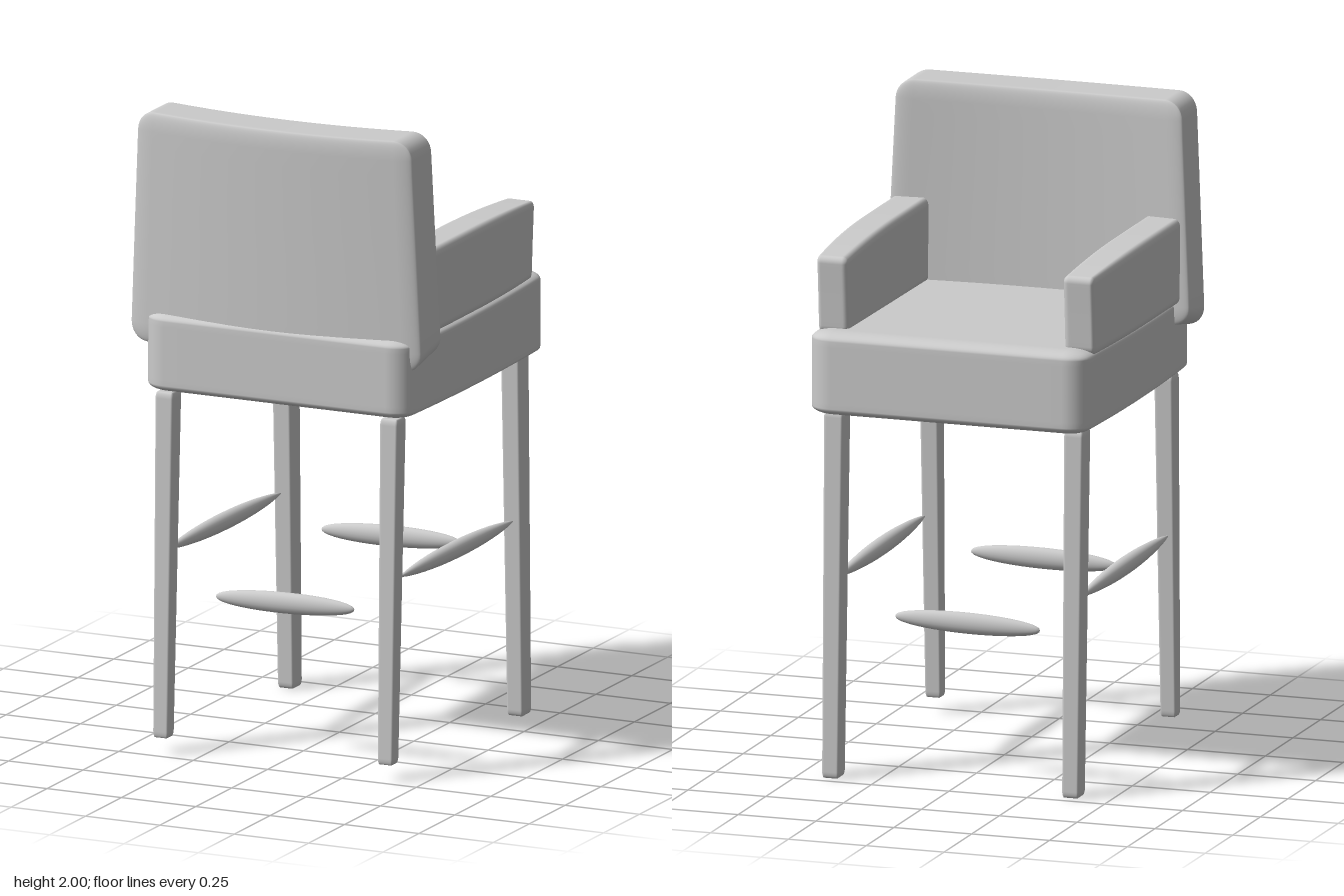
import * as THREE from 'three';
import { mergeVertices } from 'three/addons/utils/BufferGeometryUtils.js';

const material = new THREE.MeshStandardMaterial({ color: 0xcccccc });

// Box with elliptical edge rounding (radii r) between corners lo and hi,
// then bent by an optional rule: bend(p, n), with n running -1..1 on each axis.
function softBox(name, lo, hi, r, bend) {
  const N = 20, inner = 0.6;
  const geo = new THREE.BoxGeometry(2, 2, 2, N, N, N);
  geo.deleteAttribute('uv');
  geo.deleteAttribute('normal');
  const pos = geo.attributes.position;
  const p = new THREE.Vector3(), n = new THREE.Vector3();
  for (let i = 0; i < pos.count; i++) {
    const core = [], e = [];
    for (let a = 0; a < 3; a++) {
      const u = pos.getComponent(i, a), half = (hi[a] - lo[a]) / 2;
      const t = Math.abs(u);
      core[a] = Math.sign(u) * Math.min(t / inner, 1) * (half - r[a]);
      e[a] = t > inner ? Math.sign(u) * Math.tan(((t - inner) / (1 - inner)) * Math.PI / 4) : 0;
    }
    const len = Math.hypot(...e);
    for (let a = 0; a < 3; a++) {
      const v = core[a] + (e[a] / len) * r[a];
      p.setComponent(a, v + (hi[a] + lo[a]) / 2);
      n.setComponent(a, v / ((hi[a] - lo[a]) / 2));
    }
    if (bend) bend(p, n);
    pos.setXYZ(i, p.x, p.y, p.z);
  }
  const smooth = mergeVertices(geo, 1e-5);
  smooth.computeVertexNormals();
  const mesh = new THREE.Mesh(smooth, material);
  mesh.name = name;
  return mesh;
}

// Tapered leg from foot centre to top centre; widths are [x, z]
function leg(name, foot, top, footSize, topSize) {
  return softBox(name, [-1, foot[1], -1], [1, top[1], 1], [0.25, 0.02, 0.25], (p, n) => {
    const t = (n.y + 1) / 2, mix = THREE.MathUtils.lerp;
    p.x = mix(foot[0], top[0], t) + p.x * mix(footSize[0], topSize[0], t) / 2;
    p.z = mix(foot[2], top[2], t) + p.z * mix(footSize[1], topSize[1], t) / 2;
  });
}

// Spindle along z, thick in the middle; power sets how blunt the ends are
function rung(name, length, height, width, power) {
  const profile = [];
  for (let i = 0; i <= 20; i++) {
    const a = (i / 20) * Math.PI;
    profile.push(new THREE.Vector2(Math.pow(Math.max(0, Math.sin(a)), power) / 2, -Math.cos(a) / 2));
  }
  const geo = new THREE.LatheGeometry(profile, 20);
  geo.rotateX(Math.PI / 2);
  geo.scale(width, height, length);
  const mesh = new THREE.Mesh(geo, material);
  mesh.name = name;
  return mesh;
}

export function createModel() {
  const chair = new THREE.Group();
  chair.name = 'barChair';

  // Seat cushion, slightly bowed at the sides
  chair.add(softBox('seat', [-0.445, 1.13, -0.49], [0.475, 1.385, 0.485], [0.075, 0.025, 0.06], (p, n) => {
    p.x -= n.x * 0.015 * n.z * n.z;
    if (n.y > 0) p.y -= 0.006 * n.z * n.y;
  }));

  // Backrest: narrower at the top, wrapped forward at both sides
  chair.add(softBox('backrest', [-0.49, 1.29, 0.335], [0.49, 2, 0.49], [0.06, 0.06, 0.012], (p, n) => {
    const t = (n.y + 1) / 2;
    p.x *= 1 - 0.065 * t;
    p.z -= 0.03 * n.x * n.x + 0.012 * (1 - t);
    if (n.y < 0) p.y += 0.016 * n.y * n.z;
    if (n.y > 0) p.y -= 0.006 * n.y * (1 - n.x * n.x);
  }));

  // Armrests: outer face bowed, top sloping down to the open end
  for (const [side, inX, outX] of [[-1, 0.338, 0.457], [1, 0.354, 0.472]]) {
    const lo = side < 0 ? -outX : inX, hi = side < 0 ? -inX : outX;
    chair.add(softBox(side < 0 ? 'rightArmrest' : 'leftArmrest',
      [lo, 1.37, -0.43], [hi, 1.635, 0.36], [0.018, 0.025, 0.018], (p, n) => {
        const f = Math.max(0, 0.2 - n.z) / 1.2;
        if (n.x * side > 0) p.x -= side * 0.02 * f * f * Math.abs(n.x);
        if (n.y > 0) p.y -= 0.022 * f * f * n.y;
        if (n.z < 0) p.z += n.z * n.y * 0.009 - n.z * 0.009;
      }));
  }

  // Legs
  for (const [side, x] of [['right', -0.373], ['left', 0.382]]) {
    chair.add(leg(side + 'BackrestLeg', [x, 0.05, 0.453], [x, 1.125, 0.418], [0.05, 0.048], [0.06, 0.066]));
    const ox = x + (side === 'left' ? 0.012 : -0.004);
    chair.add(leg(side + 'OpenEndLeg', [ox, 0, -0.436], [ox - 0.004, 1.14, -0.413], [0.054, 0.066], [0.062, 0.076]));
  }

  // Side rungs, pointed at the ends and arched on top
  for (const [name, x] of [['rightRung', -0.385], ['leftRung', 0.395]]) {
    const side = rung(name, 0.79, 0.055, 0.05, 1.5);
    side.position.set(x, 0.618, 0.003);
    side.rotation.x = -0.012;
    chair.add(side);
  }

  // Cross rungs, short and blunt
  for (const [name, x, z] of [['backrestRung', 0.03, 0.44], ['openEndRung', -0.035, -0.43]]) {
    const cross = rung(name, 0.465, 0.066, 0.045, 0.9);
    cross.rotation.y = Math.PI / 2;
    const holder = new THREE.Group();
    holder.name = name + 'Holder';
    holder.add(cross);
    holder.position.set(x, 0.51, z);
    holder.rotation.z = 0.02;
    chair.add(holder);
  }
  return chair;
}
